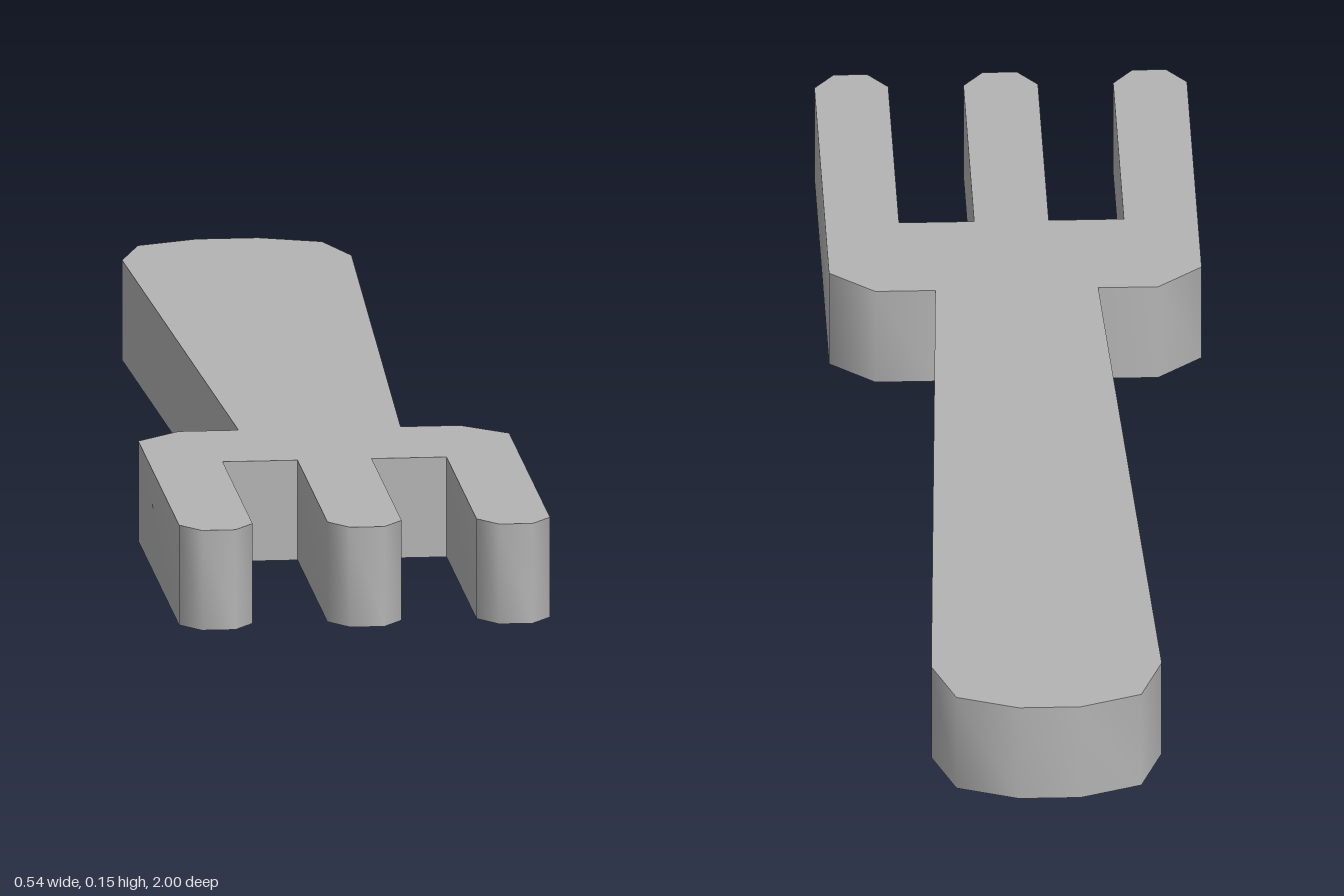
import * as THREE from 'three';
import { toCreasedNormals } from 'three/addons/utils/BufferGeometryUtils.js';

const THICKNESS = 0.148;

export function createModel() {
  const group = new THREE.Group();
  group.name = 'fork';
  const metal = new THREE.MeshStandardMaterial({ color: 0xb4b4b4 });
  metal.name = 'light grey';

  // Left half of the outline as [x, z], from the middle tine's tip round to the handle end
  const half = [
    [0.025, 1], [0.054, 0.96], [0.054, 0.532],                // middle tine
    [0.163, 0.532], [0.163, 0.96], [0.192, 1],                // gap and inner side of outer tine
    [0.241, 1], [0.27, 0.96],                                 // outer tine tip
    [0.27, 0.377], [0.205, 0.317], [0.118, 0.317],            // shoulder and neck
    [0.167, -0.866], [0.134, -0.964], [0.045, -1],            // flared handle with rounded end
  ];
  const mirrored = half.map(([x, z]) => [-x, z]).reverse();
  const outline = [...half, ...mirrored].map(([x, z]) => new THREE.Vector2(x, -z));

  // Flat extrusion laid on the ground; shallow corners smooth, square ones sharp
  const body = new THREE.ExtrudeGeometry(new THREE.Shape(outline), {
    depth: THICKNESS,
    bevelEnabled: false,
  });
  body.rotateX(-Math.PI / 2);

  const mesh = new THREE.Mesh(toCreasedNormals(body, 1.1), metal);
  mesh.name = 'forkBody';
  group.add(mesh);
  return group;
}
